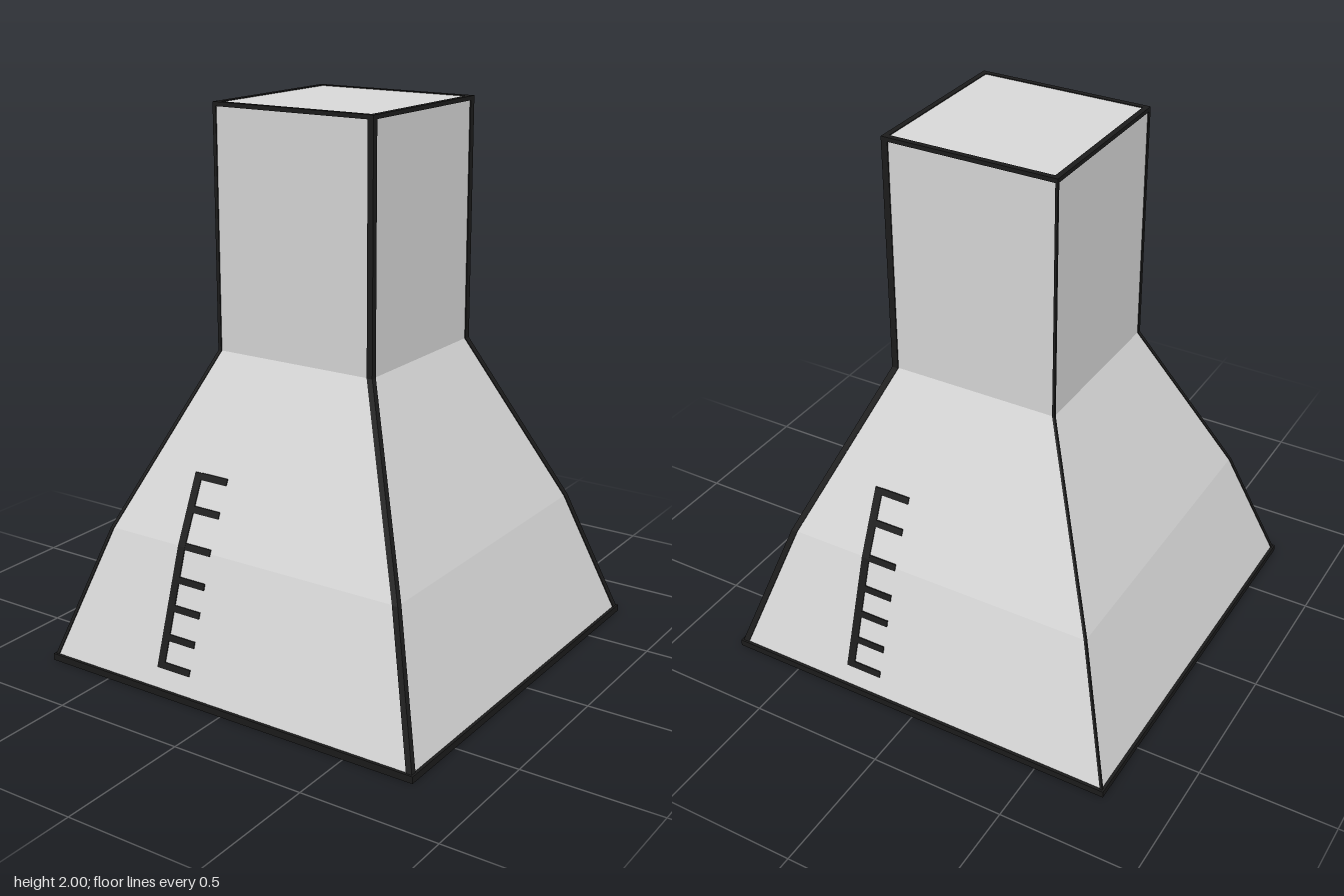
import * as THREE from 'three';

// Half width of the square body at each level: [half width, height]
const PROFILE = [[0.76, 0.003], [0.6, 0.5], [0.317, 1.135], [0.317, 1.997]];
const PROUD = 0.004; // how far the dark trim stands out of the body

function halfWidth(y) {
  for (let i = 1; i < PROFILE.length; i++) {
    const [w0, y0] = PROFILE[i - 1];
    const [w1, y1] = PROFILE[i];
    if (y <= y1) return w0 + (w1 - w0) * Math.max(0, (y - y0) / (y1 - y0));
  }
  return PROFILE[PROFILE.length - 1][0];
}

export function createModel() {
  const model = new THREE.Group();
  const shell = new THREE.MeshStandardMaterial({ color: 0xdadada });
  shell.name = 'pale grey';
  const trim = new THREE.MeshStandardMaterial({ color: 0x1c1c1c });
  trim.name = 'near black';

  function add(parent, name, geometry, material) {
    const flat = geometry.index ? geometry.toNonIndexed() : geometry;
    flat.computeVertexNormals();
    const mesh = new THREE.Mesh(flat, material);
    mesh.name = name;
    parent.add(mesh);
    return mesh;
  }

  // Moves every corner of a box by a rule
  function warp(geometry, rule) {
    const p = geometry.attributes.position;
    for (let i = 0; i < p.count; i++) {
      p.setXYZ(i, ...rule(p.getX(i), p.getY(i), p.getZ(i)));
    }
    return geometry;
  }

  // Four-sided flask: flared base, shoulders and straight neck
  const outline = [
    new THREE.Vector2(0, PROFILE[0][1]),
    ...PROFILE.map(([w, y]) => new THREE.Vector2(w * Math.SQRT2, y)),
    new THREE.Vector2(0, PROFILE[3][1]),
  ];
  add(model, 'body', new THREE.LatheGeometry(outline, 4, Math.PI / 4), shell);

  // Dark posts along the four corners, bending with the body
  const corners = [[1, 1, 0.022], [1, -1, 0.024], [-1, 1, 0.013], [-1, -1, 0.009]];
  for (const [sx, sz, t] of corners) {
    const post = new THREE.Group();
    post.name = 'cornerEdge';
    for (let i = 1; i < PROFILE.length; i++) {
      const y0 = PROFILE[i - 1][1];
      const y1 = PROFILE[i][1];
      const box = warp(new THREE.BoxGeometry(1, 1, 1), (x, y, z) => {
        const h = y < 0 ? y0 : y1;
        const w = halfWidth(h) + PROUD;
        return [
          sx * w - (x * sx > 0 ? 0 : sx * t),
          h,
          sz * w - (z * sz > 0 ? 0 : sz * t),
        ];
      });
      add(post, 'edgeSegment', box, trim);
    }
    model.add(post);
  }

  // Dark bars around the foot and the top, one per side
  function ring(name, w, y0, y1, inset) {
    const group = new THREE.Group();
    group.name = name;
    for (let i = 0; i < 4; i++) {
      const bar = new THREE.BoxGeometry(2 * w, y1 - y0, inset);
      bar.translate(0, (y0 + y1) / 2, w - inset / 2);
      bar.rotateY((i * Math.PI) / 2);
      add(group, name + 'Bar', bar, trim);
    }
    model.add(group);
  }
  ring('footEdge', 0.764, 0, 0.025, 0.012);
  ring('topEdge', 0.321, 1.985, 2, 0.02);

  // Measuring scale: a thin plate lying on the sloping face
  function plate(parent, name, x0, x1, y0, y1) {
    const box = warp(new THREE.BoxGeometry(1, 1, 1), (x, y, z) => {
      const h = y < 0 ? y0 : y1;
      return [x < 0 ? x0 : x1, h, halfWidth(h) + (z > 0 ? PROUD : -PROUD)];
    });
    add(parent, name, box, trim);
  }
  for (const turn of [0, Math.PI]) {
    const scale = new THREE.Group();
    scale.name = turn ? 'backScale' : 'frontScale';
    plate(scale, 'lowerRail', -0.295, -0.265, 0.092, 0.5);
    plate(scale, 'upperRail', -0.295, -0.265, 0.5, 0.74);
    for (const y of [0.103, 0.197, 0.295, 0.39, 0.503, 0.623, 0.73]) {
      plate(scale, 'tick', -0.27, -0.155, y - 0.011, y + 0.011);
    }
    scale.rotation.y = turn;
    model.add(scale);
  }

  return model;
}
